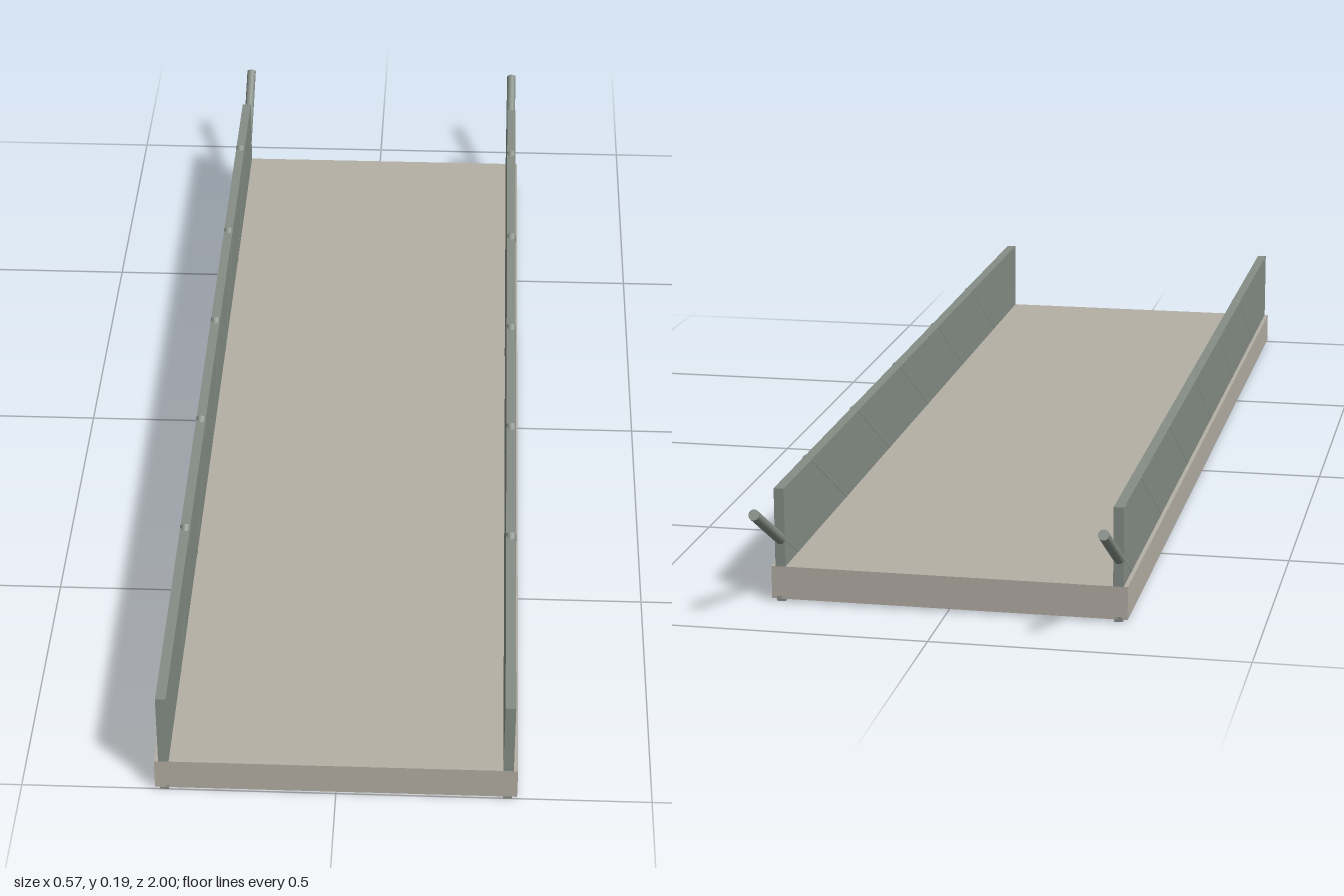
import * as THREE from 'three';

const FRONT = 1, BACK = -0.856;
const LENGTH = FRONT - BACK, MID = (FRONT + BACK) / 2;
const DECK_BOTTOM = 0.004, DECK_TOP = 0.058;
const PANEL_TOP = 0.187, SIDE_X = 0.272;
const ROD_COUNT = 6, ROD_SPACING = 0.311, ROD_RADIUS = 0.0088;

export function createModel() {
  const group = new THREE.Group();
  const deckMaterial = new THREE.MeshStandardMaterial({ color: 0xb4afa5 });
  const metalMaterial = new THREE.MeshStandardMaterial({ color: 0x858d86 });

  const add = (name, geometry, material, x, y, z) => {
    const mesh = new THREE.Mesh(geometry, material);
    mesh.name = name;
    mesh.position.set(x, y, z);
    group.add(mesh);
    return mesh;
  };
  const slab = (name, width, y0, y1, x, material) =>
    add(name, new THREE.BoxGeometry(width, y1 - y0, LENGTH), material, x, (y0 + y1) / 2, MID);

  // Flat deck
  slab('deck', 0.574, DECK_BOTTOM, DECK_TOP, 0, deckMaterial);

  // Slanted rod, leaning back as it rises from the deck
  const foot = new THREE.Vector3(0, 0.052, 0.79);
  const tip = new THREE.Vector3(0, 0.186, 0.559);
  const direction = tip.clone().sub(foot);
  const rodGeometry = new THREE.CylinderGeometry(ROD_RADIUS, ROD_RADIUS, direction.length(), 16);
  const middle = foot.clone().add(tip).multiplyScalar(0.5);
  const up = new THREE.Vector3(0, 1, 0);
  direction.normalize();

  for (const [side, s] of [['left', 1], ['right', -1]]) {
    // Side panel and the runner beneath the deck
    slab(side + 'Panel', 0.0165, DECK_TOP - 0.004, PANEL_TOP, s * SIDE_X, metalMaterial);
    slab(side + 'Runner', 0.014, 0, DECK_BOTTOM + 0.004, s * SIDE_X, metalMaterial);

    // Row of slanted rods; the last one reaches past the back of the panel
    for (let i = 0; i < ROD_COUNT; i++) {
      const rod = add(side + 'Rod' + (i + 1), rodGeometry, metalMaterial,
        s * SIDE_X, middle.y, middle.z - i * ROD_SPACING);
      rod.quaternion.setFromUnitVectors(up, direction);
    }
  }
  return group;
}
